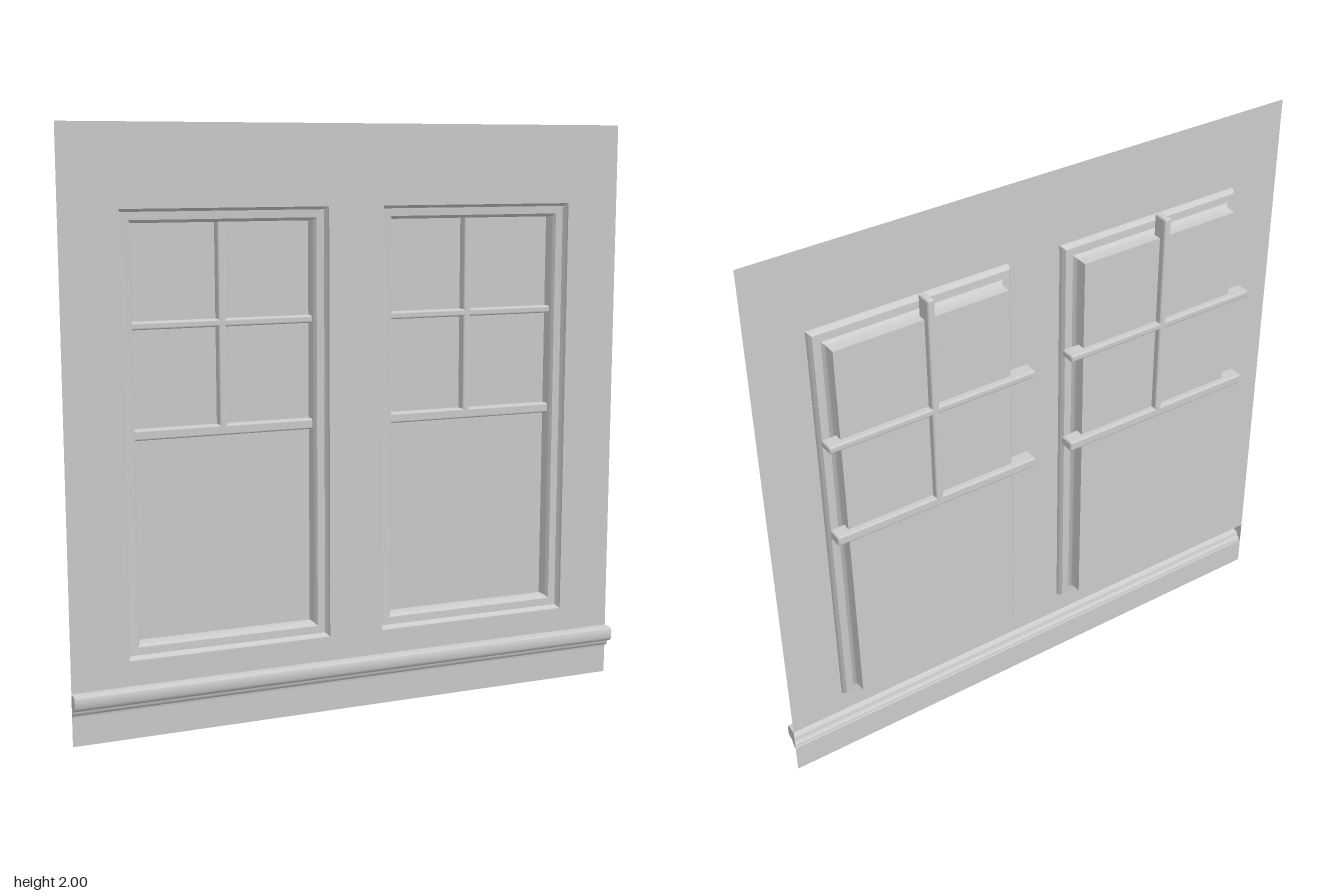
import * as THREE from 'three';
import { toCreasedNormals } from 'three/addons/utils/BufferGeometryUtils.js';
import { RoundedBoxGeometry } from 'three/addons/geometries/RoundedBoxGeometry.js';

const material = new THREE.MeshStandardMaterial({ color: 0xcccccc, side: THREE.DoubleSide });

const WALL_Z = 0.026, PANE_Z = -0.05;
const BAR_Z = -0.0445, BAR_DEPTH = 0.055;
const CENTRE_Y = 0.998, HALF_W = 0.354, HALF_H = 0.733;

// Frame section from the wall inwards: [inset, z]
const frameProfile = [
  [0, WALL_Z], [0.004, 0.01], [0.01, 0.004], [0.036, 0.002],
  [0.042, -0.004], [0.046, -0.012], [0.046, PANE_Z],
];

// Sill section from the top back edge over the front to the bottom: [z, y]
const sillProfile = [
  [WALL_Z, 0.18], [0.06, 0.18], [0.069, 0.176], [0.072, 0.168], [0.072, 0.145],
  [0.068, 0.136], [0.06, 0.13], [0.047, 0.128], [0.046, 0.121], [0.042, 0.112],
  [0.034, 0.107], [0.033, 0.1], [WALL_Z, 0.1],
];

function addMesh(parent, name, geometry, x = 0, y = 0, z = 0) {
  const mesh = new THREE.Mesh(geometry, material);
  mesh.name = name;
  mesh.position.set(x, y, z);
  parent.add(mesh);
  return mesh;
}

// Surface joining consecutive rows of [x, y, z] points
function loft(rows) {
  const positions = [];
  for (let i = 0; i < rows.length - 1; i++) {
    for (let j = 0; j < rows[i].length - 1; j++) {
      const a = rows[i][j], b = rows[i][j + 1], c = rows[i + 1][j + 1], d = rows[i + 1][j];
      positions.push(...a, ...b, ...c, ...a, ...c, ...d);
    }
  }
  const geometry = new THREE.BufferGeometry();
  geometry.setAttribute('position', new THREE.Float32BufferAttribute(positions, 3));
  geometry.computeVertexNormals();
  return toCreasedNormals(geometry, 0.7);
}

// Rectangle outline, anticlockwise from the lower left and closed
function rectangle(x0, y0, x1, y1) {
  return [[x0, y0], [x1, y0], [x1, y1], [x0, y1], [x0, y0]];
}

const toPoints = (list) => list.map(([x, y]) => new THREE.Vector2(x, y));

function createWindow(name, x, barX) {
  const group = new THREE.Group();
  group.name = name;

  // Stepped frame and deep reveal
  const rows = frameProfile.map(([inset, z]) =>
    rectangle(-HALF_W + inset, -HALF_H + inset, HALF_W - inset, HALF_H - inset)
      .map(([px, py]) => [px, py, z]));
  addMesh(group, 'windowFrame', loft(rows), x, CENTRE_Y, 0);

  // Glass at the back of the reveal
  const inset = frameProfile[frameProfile.length - 1][0];
  addMesh(group, 'glassPane',
    new THREE.PlaneGeometry(2 * (HALF_W - inset), 2 * (HALF_H - inset)), x, CENTRE_Y, PANE_Z);

  // Glazing bars running through the glass
  const bar = (label, w, h, px, py) =>
    addMesh(group, label, new RoundedBoxGeometry(w, h, BAR_DEPTH, 3, 0.007), px, py, BAR_Z);
  bar('meetingRail', 0.75, 0.035, barX, 1.0025);
  bar('horizontalBar', 0.75, 0.025, barX, 1.357);
  bar('verticalBar', 0.027, 0.76, barX, 1.38);
  return group;
}

export function createModel() {
  const model = new THREE.Group();
  model.name = 'windowWall';

  // Thin wall with two openings, interrupted by the hollow sill
  const wall = new THREE.Shape(toPoints(rectangle(-1, 0.18, 1, 2)));
  for (const x of [-0.452, 0.452]) {
    wall.holes.push(new THREE.Path(toPoints(rectangle(
      x - HALF_W, CENTRE_Y - HALF_H, x + HALF_W, CENTRE_Y + HALF_H).reverse())));
  }
  addMesh(model, 'upperWall', new THREE.ShapeGeometry(wall), 0, 0, WALL_Z);
  addMesh(model, 'lowerWall', new THREE.PlaneGeometry(2, 0.1), 0, 0.05, WALL_Z);

  // Moulded sill, open at the back, with capped ends
  const sill = new THREE.Group();
  sill.name = 'sill';
  addMesh(sill, 'sillMoulding', loft([-1, 1].map((x) => sillProfile.map(([z, y]) => [x, y, z]))));
  for (const x of [-1, 1]) {
    const cap = new THREE.ShapeGeometry(new THREE.Shape(toPoints(sillProfile)));
    cap.rotateY(-Math.PI / 2);
    addMesh(sill, x > 0 ? 'leftSillEnd' : 'rightSillEnd', cap, x, 0, 0);
  }
  model.add(sill);

  // The bars sit slightly off the middle of each opening
  model.add(createWindow('rightWindow', -0.452, -0.457));
  model.add(createWindow('leftWindow', 0.452, 0.435));
  return model;
}
